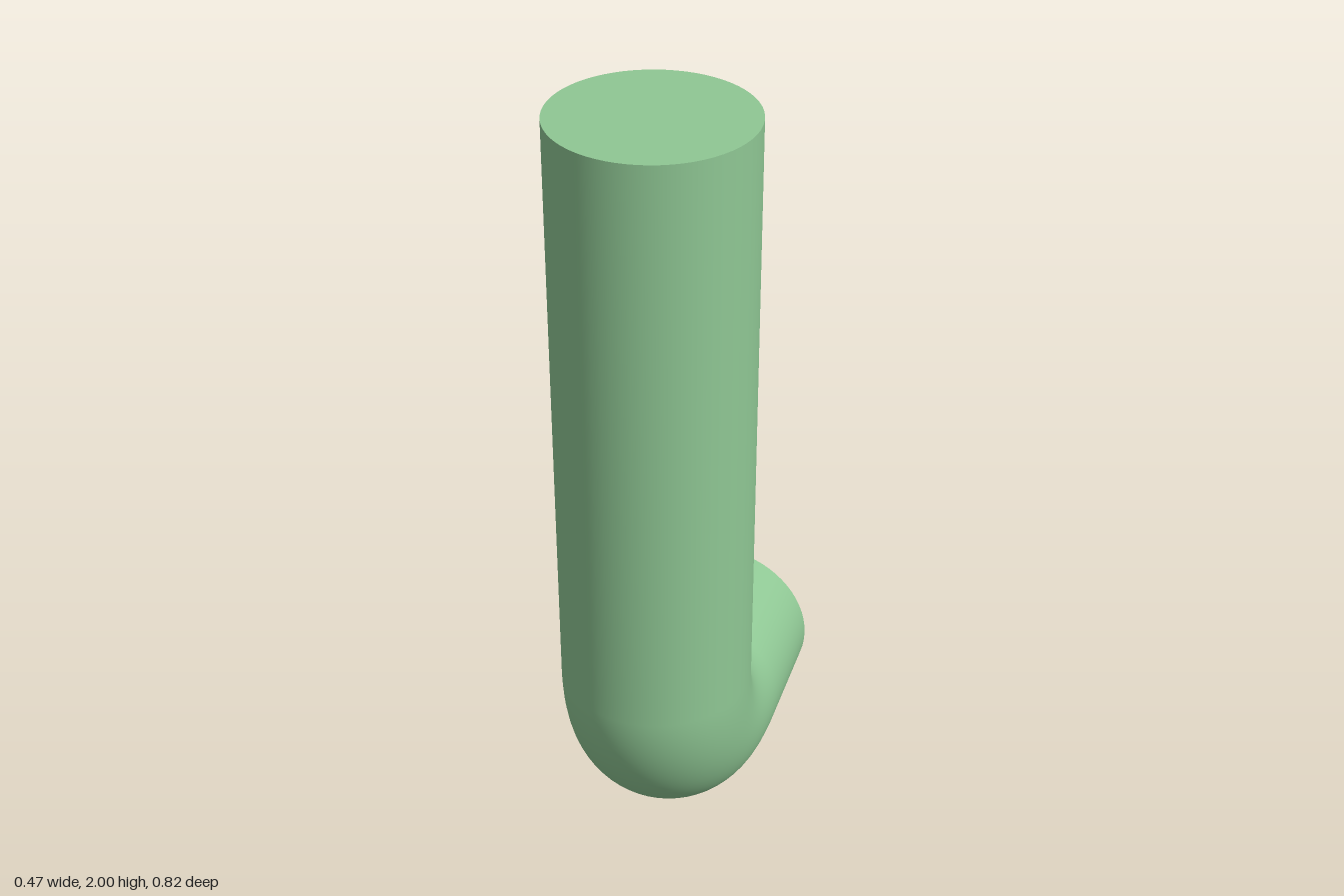
import * as THREE from 'three';

const R = 0.234;            // pipe radius
const BEND = 0.295;         // centreline radius of the elbow
const END = 0.41;           // half depth
const TOP = 2;
const SIDES = 64;

export function createModel() {
  const group = new THREE.Group();
  group.name = 'elbowPipe';
  const material = new THREE.MeshStandardMaterial({ color: 0x8fc794 });

  const add = (name, geometry) => {
    const mesh = new THREE.Mesh(geometry, material);
    mesh.name = name;
    group.add(mesh);
  };

  const zLeg = END - R;          // axis of the upright leg
  const yBend = R + BEND;        // centre of the elbow
  const zBend = zLeg - BEND;
  const tube = (length) => new THREE.CylinderGeometry(R, R, length, SIDES, 1, true);

  // Upright leg and its flat end
  add('uprightLeg', tube(TOP - yBend).translate(0, (TOP + yBend) / 2, zLeg));
  add('topCap', new THREE.CircleGeometry(R, SIDES).rotateX(-Math.PI / 2).translate(0, TOP, zLeg));

  // Quarter-turn elbow from the upright leg to the rear leg
  add('elbow', new THREE.TorusGeometry(BEND, R, SIDES, 32, Math.PI / 2)
    .rotateY(-Math.PI / 2).rotateX(Math.PI / 2).translate(0, yBend, zBend));

  // Short rear leg and its flat end
  add('rearLeg', tube(zBend + END).rotateX(Math.PI / 2).translate(0, R, (zBend - END) / 2));
  add('rearCap', new THREE.CircleGeometry(R, SIDES).rotateY(Math.PI).translate(0, R, -END));

  return group;
}
